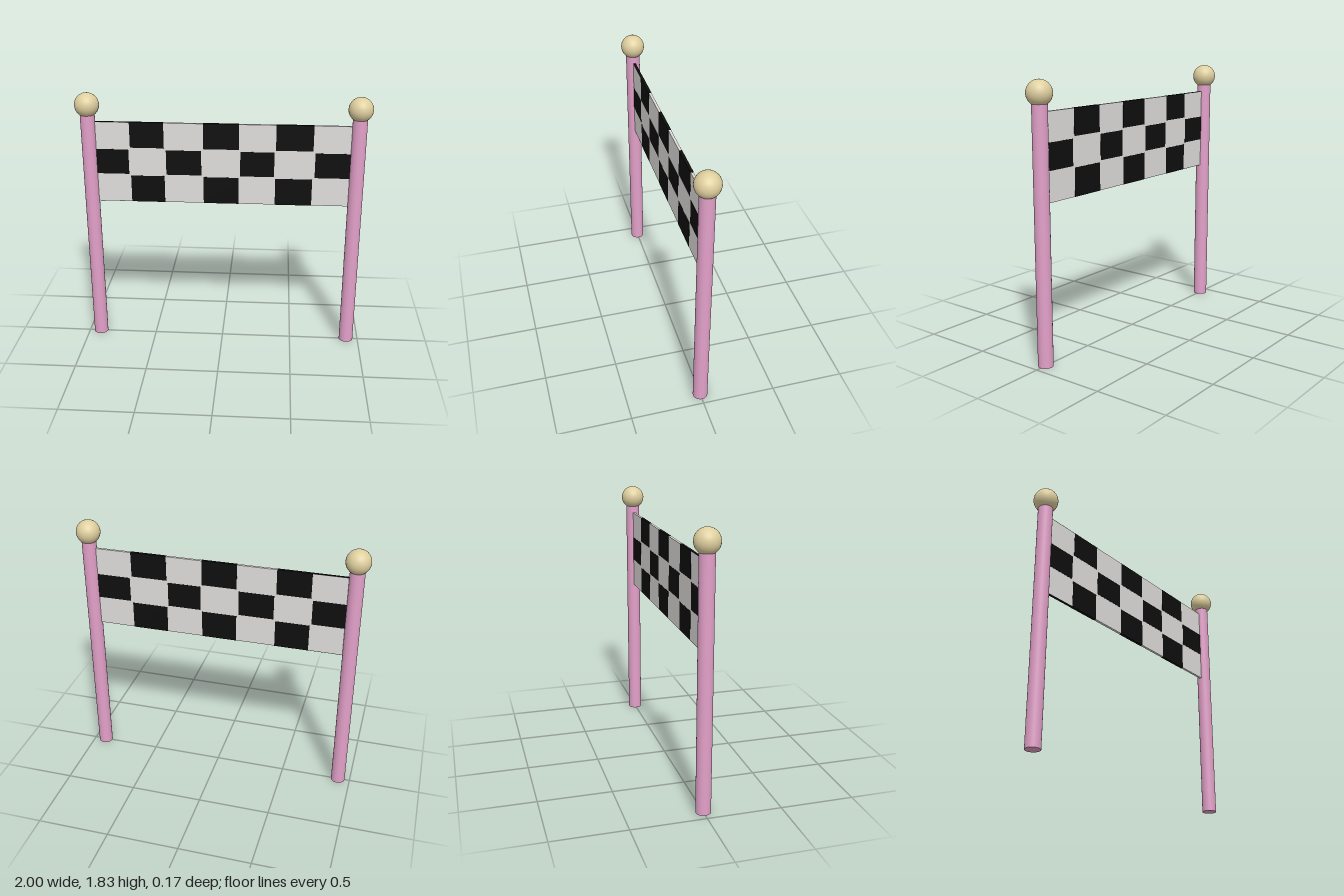
import * as THREE from 'three';

const mat = (name, color) => {
  const m = new THREE.MeshStandardMaterial({ color });
  m.name = name;
  return m;
};

export function createModel() {
  const pink = mat('pink post', 0xe2a0c8);
  const gold = mat('pale gold', 0xdfcf9f);
  const white = mat('banner white', 0xe0dedc);
  const black = mat('banner black', 0x0e0e0e);

  const model = new THREE.Group();
  model.name = 'finishGate';

  const add = (parent, name, geometry, material, x, y, z = 0) => {
    const mesh = new THREE.Mesh(geometry, material);
    mesh.name = name;
    mesh.position.set(x, y, z);
    parent.add(mesh);
  };

  // Posts with ball finials
  for (const [side, s] of [['left', 1], ['right', -1]]) {
    add(model, side + 'Post', new THREE.CylinderGeometry(0.05, 0.05, 1.7, 32), pink, s * 0.915, 0.85);
    add(model, side + 'Ball', new THREE.SphereGeometry(0.083, 32, 20), gold, s * 0.915, 1.745);
  }

  // White banner sheet, its ends sunk into the posts
  const banner = new THREE.Group();
  banner.name = 'banner';
  model.add(banner);
  const bottom = 1.06, top = 1.63, depth = 0.018;
  add(banner, 'bannerSheet', new THREE.BoxGeometry(1.78, top - bottom, depth), white, 0, (top + bottom) / 2);

  // Black checks run through the sheet and stand a hair proud of it
  const check = (name, x0, x1, y0, y1) =>
    add(banner, name, new THREE.BoxGeometry(x1 - x0, y1 - y0, depth + 0.002), black, (x0 + x1) / 2, (y0 + y1) / 2);
  const outer = [[-0.633, -0.4], [-0.13, 0.112], [0.363, 0.615]];
  const middle = [[-0.89, -0.645], [-0.387, -0.145], [0.122, 0.354], [0.63, 0.89]];
  for (const [x0, x1] of outer) {
    check('topCheck', x0, x1, 1.452, top + 0.001);
    check('bottomCheck', x0, x1, bottom - 0.001, 1.25);
  }
  for (const [x0, x1] of middle) check('middleCheck', x0, x1, 1.262, 1.438);

  // Black edging along the right end of the sheet
  for (const y of [top, bottom])
    add(banner, 'edgeStrip', new THREE.BoxGeometry(0.26, 0.002, depth), black, -0.76, y);

  return model;
}
